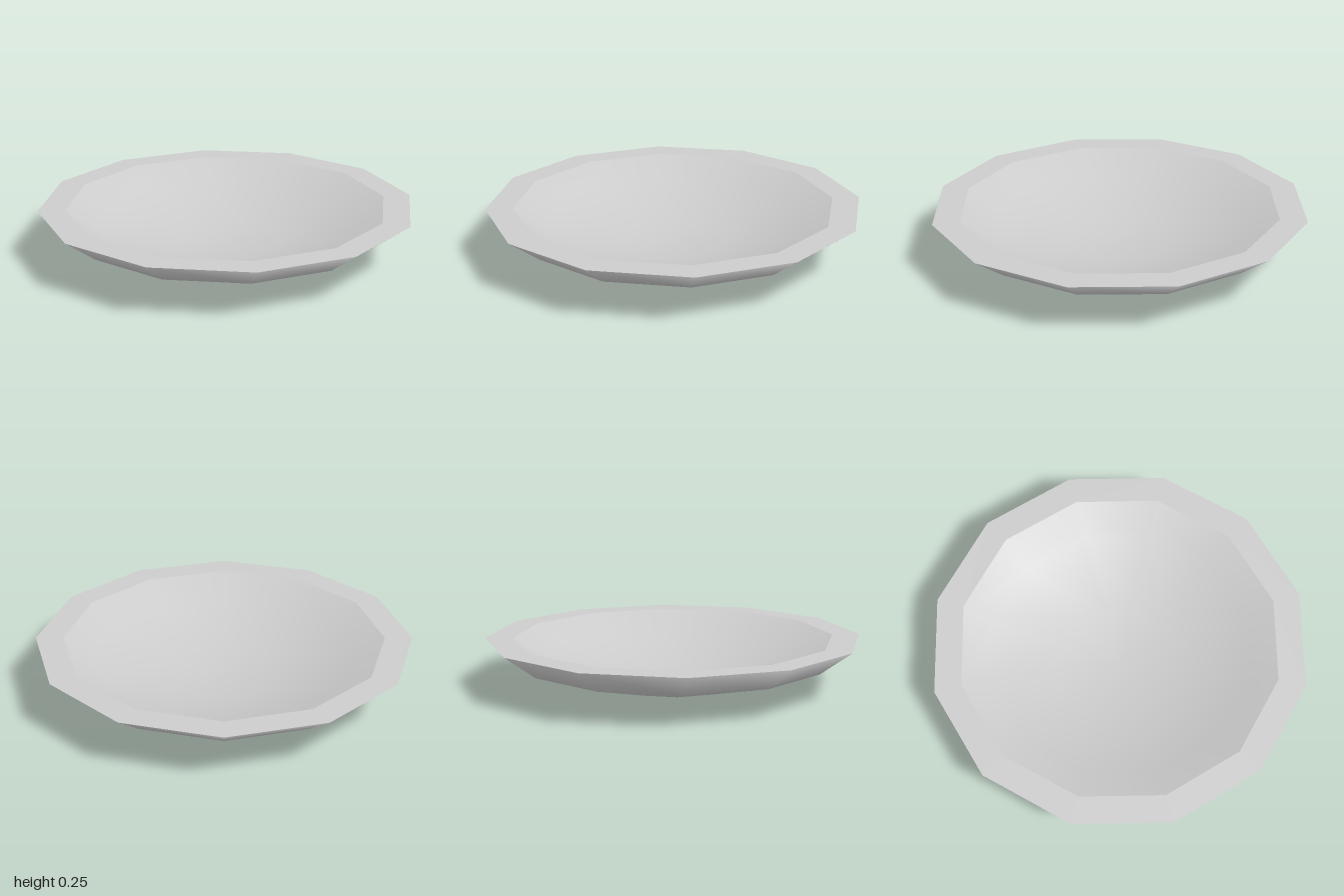
import * as THREE from 'three';

const SIDES = 12;
const RIM_Y = 0.255;

// Half section: underside centre, outer wall, rim, inner wall, inside centre
const PROFILE = [
  [0, 0], [0.33, 0], [0.83, 0.13], [1, RIM_Y],
  [0.855, RIM_Y], [0.7, 0.15], [0.29, 0.05], [0, 0.045],
];
const RIM_BAND = 3; // section segment that forms the rim

// Revolved shell, smooth across its edges, keeping only the chosen bands
function shell(name, material, keepBand) {
  const points = PROFILE.map(([r, y]) => new THREE.Vector2(r, y));
  const geometry = new THREE.LatheGeometry(points, SIDES);
  const source = geometry.index.array;
  const bands = PROFILE.length - 1;
  const kept = [];
  for (let quad = 0; quad < source.length / 6; quad++) {
    if (keepBand(quad % bands)) kept.push(...source.slice(quad * 6, quad * 6 + 6));
  }
  geometry.setIndex(kept);
  const mesh = new THREE.Mesh(geometry, material);
  mesh.name = name;
  return mesh;
}

export function createModel() {
  const group = new THREE.Group();
  group.name = 'bowl';
  const ceramic = new THREE.MeshStandardMaterial({ color: 0xcccccc });
  ceramic.name = 'pale grey ceramic';

  // Outside and inside of the dish
  group.add(shell('outerWall', ceramic, (band) => band < RIM_BAND));
  group.add(shell('innerBasin', ceramic, (band) => band > RIM_BAND));

  // Flat, level rim
  const rim = new THREE.Mesh(new THREE.RingGeometry(0.855, 1, SIDES, 1), ceramic);
  rim.name = 'rim';
  rim.rotation.x = -Math.PI / 2;
  rim.position.y = RIM_Y;
  group.add(rim);

  return group;
}
